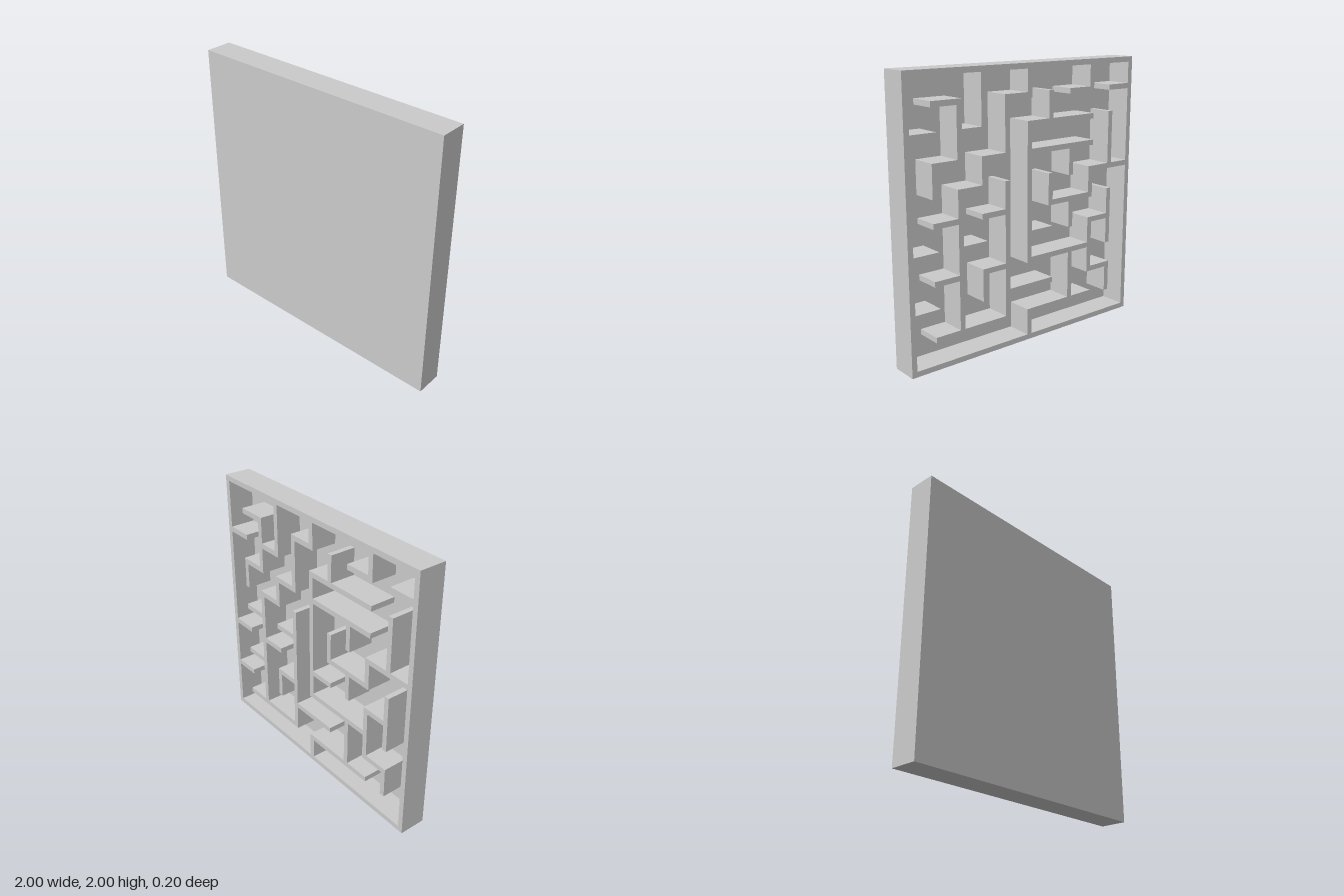
import * as THREE from 'three';

// Square labyrinth board: closed plate at the front, maze walls open to the back.
const N = 10;               // cells per side
const CELL = 2 / (N + 0.2); // grid pitch
const T = CELL * 0.2;       // wall thickness
const DEPTH = 0.2;
const PLATE = 0.008;

// Walls as runs [column, row, length] between grid nodes;
// columns count from +x towards -x, rows from the top down.
const ACROSS = [
  [1, 1, 1], [4, 1, 1], [7, 1, 1], [9, 1, 1],
  [0, 2, 1], [2, 2, 1], [5, 2, 3],
  [1, 3, 1], [3, 3, 1], [5, 3, 3],
  [2, 4, 1], [8, 4, 2],
  [1, 5, 1], [3, 5, 1], [6, 5, 2],
  [0, 6, 1], [2, 6, 1], [5, 6, 1], [8, 6, 1],
  [1, 7, 1], [3, 7, 1], [5, 7, 3],
  [0, 8, 1], [4, 8, 2], [8, 8, 1],
  [1, 9, 3], [5, 9, 3],
];
const DOWN = [
  [1, 3, 1],
  [2, 1, 2], [2, 4, 5],
  [3, 0, 2], [3, 3, 1], [3, 7, 1],
  [4, 1, 2], [4, 4, 5],
  [5, 0, 1], [5, 2, 5], [5, 9, 1],
  [6, 1, 1], [6, 4, 1],
  [7, 3, 1], [7, 5, 1], [7, 7, 2],
  [8, 0, 1], [8, 4, 1], [8, 6, 2],
  [9, 2, 2], [9, 5, 2], [9, 8, 1],
];

export function createModel() {
  const model = new THREE.Group();
  model.name = 'mazeBoard';
  const material = new THREE.MeshStandardMaterial({ color: 0xcccccc });

  const box = (parent, name, w, h, d, x, y, z) => {
    const mesh = new THREE.Mesh(new THREE.BoxGeometry(w, h, d), material);
    mesh.name = name;
    mesh.position.set(x, y, z);
    parent.add(mesh);
  };

  // One wall run, covering both of its end nodes
  const wall = (parent, name, col, row, cols, rows) => box(
    parent, name,
    cols * CELL + T, rows * CELL + T, DEPTH - PLATE,
    1 - T / 2 - (col + cols / 2) * CELL,
    2 - T / 2 - (row + rows / 2) * CELL,
    -PLATE / 2,
  );

  // Closed front plate
  box(model, 'frontPlate', 2, 2, PLATE, 0, 1, DEPTH / 2 - PLATE / 2);

  // Outer frame
  const frame = new THREE.Group();
  frame.name = 'outerFrame';
  for (const k of [0, N]) {
    wall(frame, k ? 'bottomFrame' : 'topFrame', 0, k, N, 0);
    wall(frame, k ? 'rightFrame' : 'leftFrame', k, 0, 0, N);
  }
  model.add(frame);

  // Inner maze walls
  const maze = new THREE.Group();
  maze.name = 'mazeWalls';
  for (const [c, r, n] of ACROSS) wall(maze, 'horizontalWall', c, r, n, 0);
  for (const [c, r, n] of DOWN) wall(maze, 'verticalWall', c, r, 0, n);
  model.add(maze);

  return model;
}
